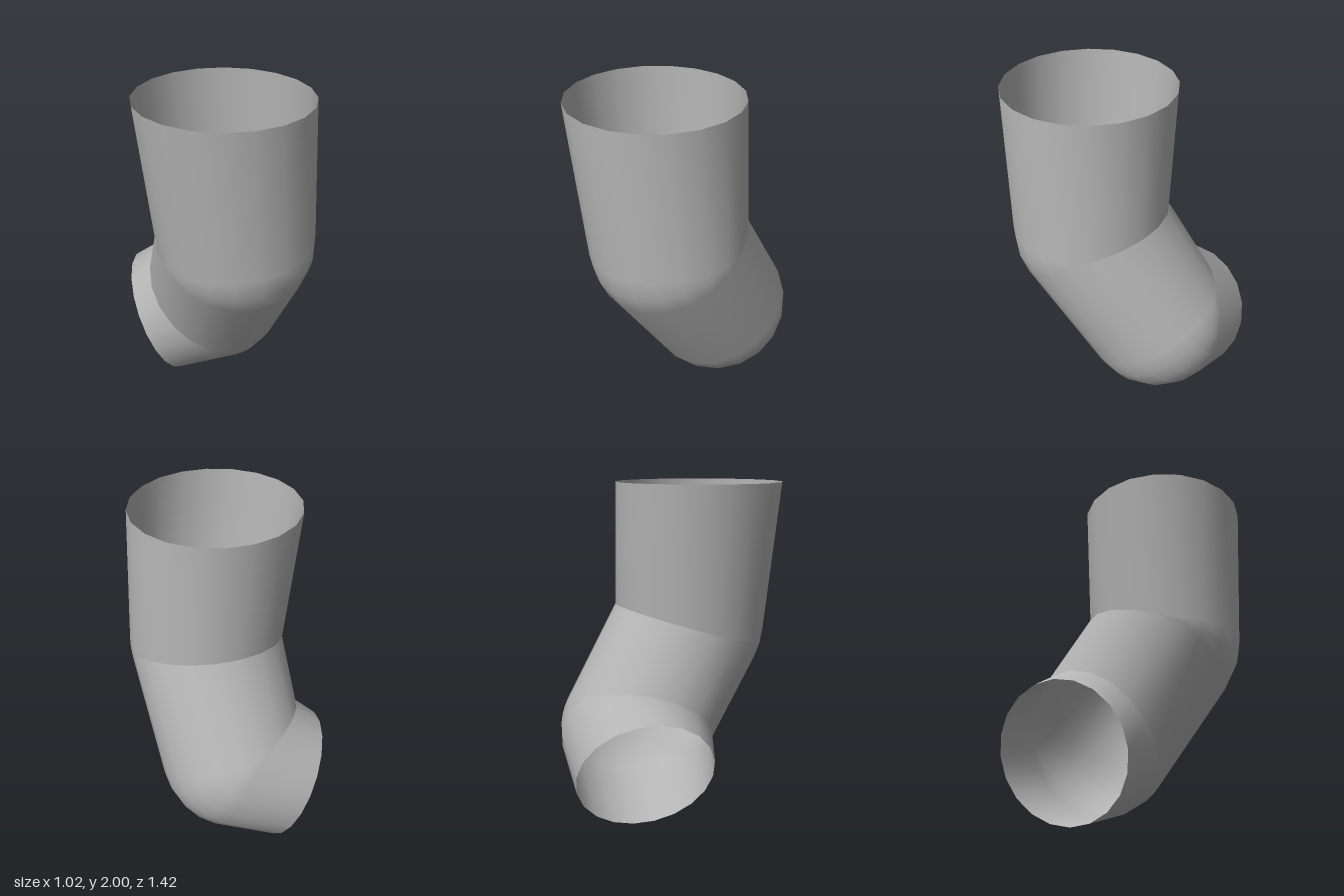
import * as THREE from 'three';

const SIDES = 20;
const V = (x, y, z) => new THREE.Vector3(x, y, z);

// Sweeps a tapering tube along straight runs; bends are round outside and mitred inside.
function bentPipe(points, startRadii, endRadii, steps) {
  const dirs = points.slice(1).map((p, i) => p.clone().sub(points[i]).normalize());
  const rings = [];

  // frame square to the first run, then carried around each bend
  let spokes = [];
  for (let j = 0; j < SIDES; j++) {
    const a = (j / SIDES) * Math.PI * 2;
    spokes.push(V(Math.cos(a), 0, Math.sin(a)));
  }
  const circle = (c, r) => spokes.map((e) => e.clone().multiplyScalar(r).add(c));

  rings.push(circle(points[0], startRadii[0]));
  const lean = new THREE.Quaternion().setFromUnitVectors(V(0, -1, 0), dirs[0]);
  spokes = spokes.map((e) => e.clone().applyQuaternion(lean));

  for (let k = 1; k < points.length - 1; k++) {
    const da = dirs[k - 1], db = dirs[k];
    const axis = da.clone().cross(db).normalize();
    const angle = da.angleTo(db);
    const n = steps[k - 1];
    for (let s = 0; s <= n; s++) {
      const f = s / n;
      const turn = new THREE.Quaternion().setFromAxisAngle(axis, angle * f);
      const r = THREE.MathUtils.lerp(endRadii[k - 1], startRadii[k], f);
      const rMid = (endRadii[k - 1] + startRadii[k]) / 2;
      rings.push(spokes.map((e) => {
        const toward = e.dot(db);
        if (toward <= 0) return e.clone().applyQuaternion(turn).multiplyScalar(r).add(points[k]);
        const t = -rMid * toward / (1 + da.dot(db));
        return e.clone().multiplyScalar(rMid).addScaledVector(da, t).add(points[k]);
      }));
    }
    const full = new THREE.Quaternion().setFromAxisAngle(axis, angle);
    spokes = spokes.map((e) => e.clone().applyQuaternion(full));
  }
  rings.push(circle(points[points.length - 1], endRadii[endRadii.length - 1]));

  const all = rings.flat();
  const index = [];
  const addFace = (a, b, c) => {
    // leave out the collapsed faces on the inside of a bend
    const area = all[b].clone().sub(all[a]).cross(all[c].clone().sub(all[a])).length();
    if (area > 1e-7) index.push(a, b, c);
  };
  for (let i = 0; i < rings.length - 1; i++) {
    for (let j = 0; j < SIDES; j++) {
      const a = i * SIDES + j, b = i * SIDES + (j + 1) % SIDES;
      addFace(a, b, a + SIDES);
      addFace(b, b + SIDES, a + SIDES);
    }
  }
  const geometry = new THREE.BufferGeometry().setFromPoints(all);
  geometry.setIndex(index);
  geometry.computeVertexNormals();
  return geometry;
}

export function createModel() {
  const grey = new THREE.MeshStandardMaterial({ color: 0xb4b4b4, side: THREE.DoubleSide });
  grey.name = 'grey';

  // open pipe: upright run, run sloping backwards, short outlet to the side
  const path = [V(-0.027, 2, 0.22), V(0.05, 1.14, 0.21), V(0.045, 0.53, -0.2), V(-0.28, 0.367, -0.33)];
  const pipe = new THREE.Mesh(
    bentPipe(path, [0.487, 0.455, 0.44], [0.457, 0.445, 0.405], [2, 4]), grey);
  pipe.name = 'bentPipe';

  const model = new THREE.Group();
  model.name = 'pipeElbow';
  model.add(pipe);
  return model;
}
